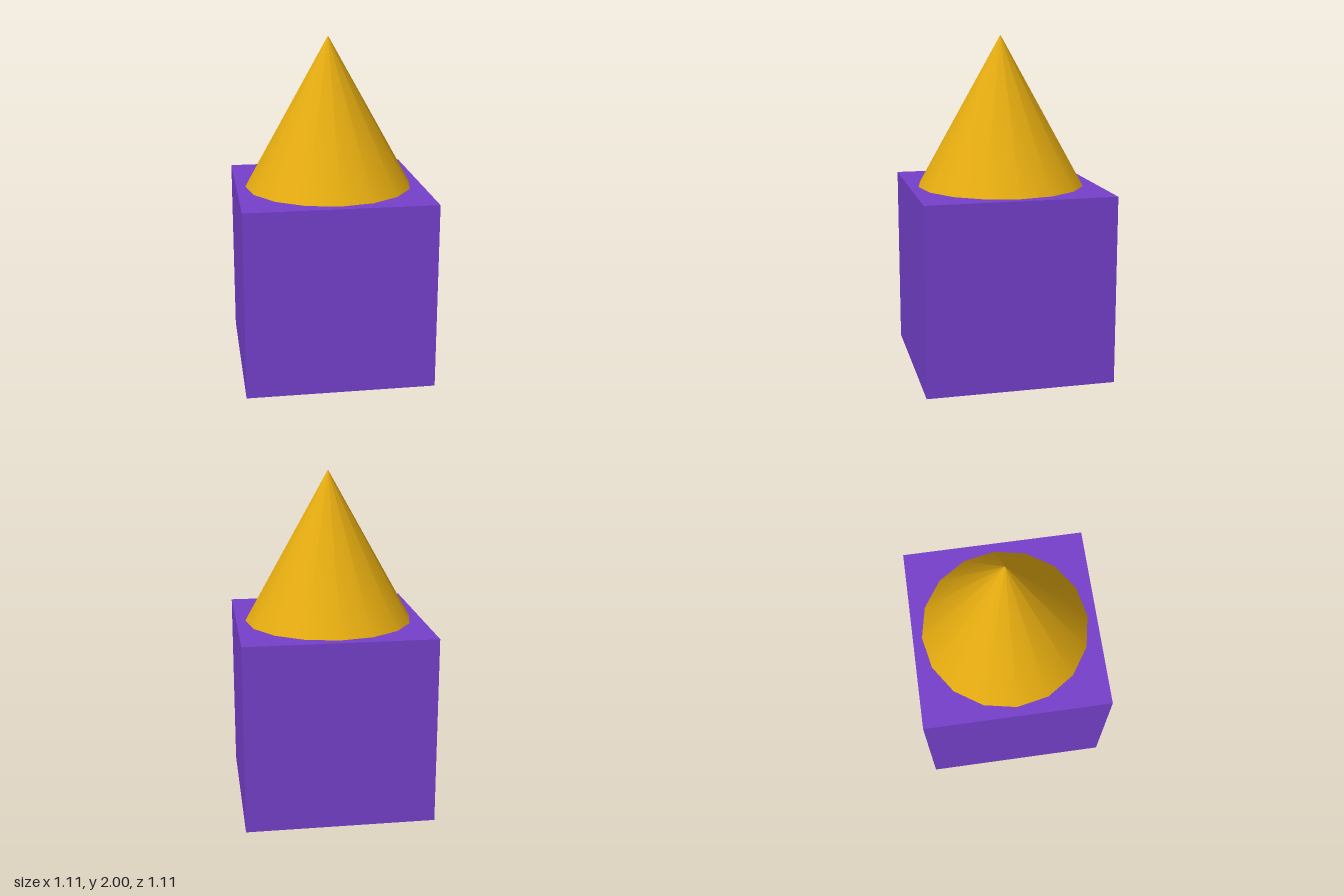
import * as THREE from 'three';

export function createModel() {
  const purple = new THREE.MeshStandardMaterial({ color: 0x7540cb });
  purple.name = 'purple';
  const gold = new THREE.MeshStandardMaterial({ color: 0xe4ab10 });
  gold.name = 'gold';

  const size = 1.11; // cube edge
  const model = new THREE.Group();
  model.name = 'coneOnCube';

  // Cube base, standing on the ground
  const base = new THREE.Mesh(new THREE.BoxGeometry(size, size, size), purple);
  base.name = 'cubeBase';
  base.position.y = size / 2;

  // Smooth sixteen-sided cone resting on the cube
  const height = 2 - size;
  const cone = new THREE.Mesh(new THREE.ConeGeometry(0.5, height, 16), gold);
  cone.name = 'coneTop';
  cone.position.y = size + height / 2;

  model.add(base, cone);
  return model;
}
